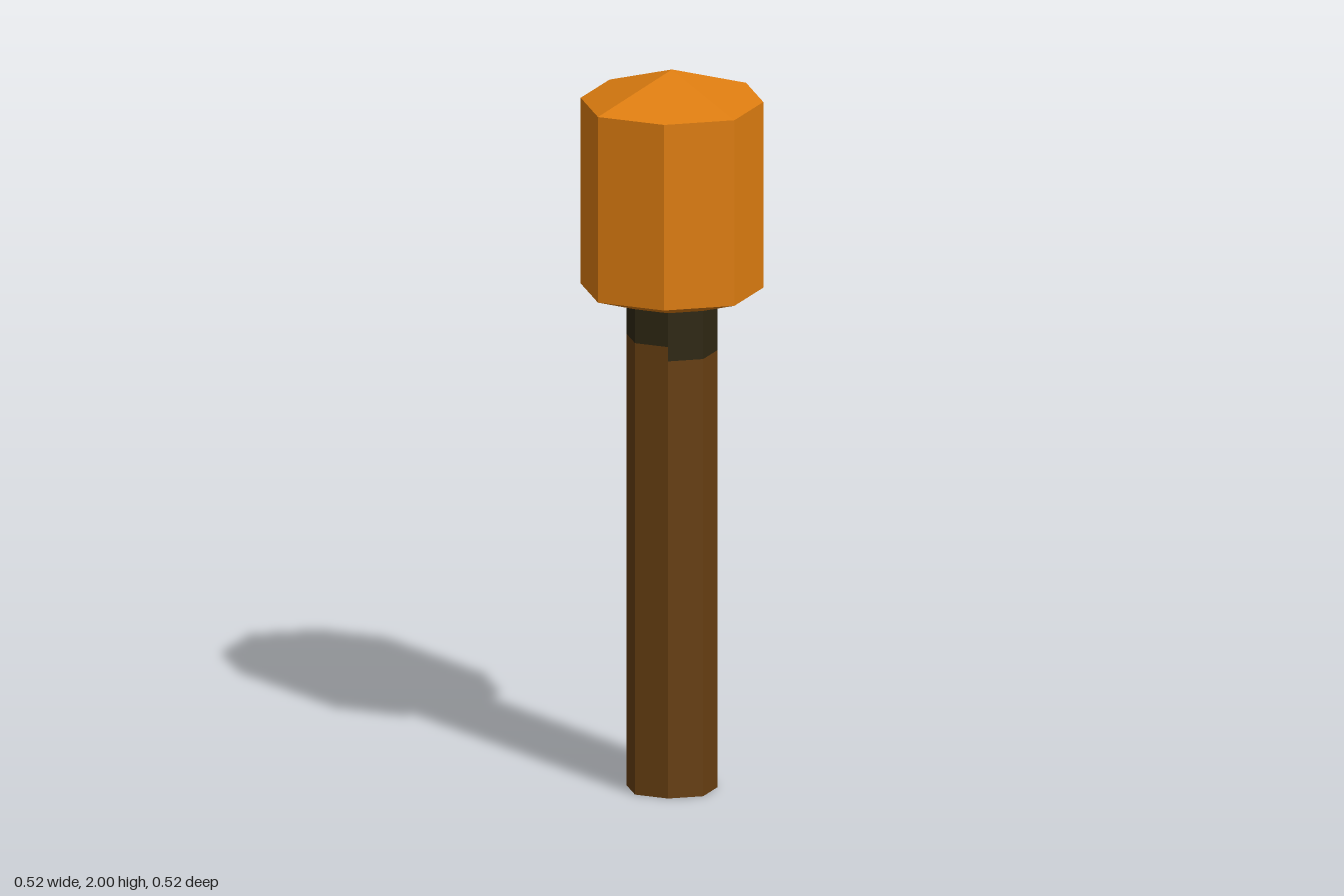
import * as THREE from 'three';

// Eight-sided ring: corners on the axes reach further out than the diagonal ones.
const corner = (i, y, axisR, diagonal) => {
  const a = (i * Math.PI) / 4;
  const r = i % 2 ? diagonal * Math.SQRT2 : axisR;
  return new THREE.Vector3(Math.sin(a) * r, y, Math.cos(a) * r);
};

// Geometry from four-cornered faces, each with one flat normal.
function fromQuads(quads) {
  const pos = [], nor = [];
  for (const [a, b, c, d] of quads) {
    const n = c.clone().sub(a).cross(d.clone().sub(b)).normalize();
    for (const p of [a, b, c, a, c, d]) {
      pos.push(p.x, p.y, p.z);
      nor.push(n.x, n.y, n.z);
    }
  }
  const g = new THREE.BufferGeometry();
  g.setAttribute('position', new THREE.Float32BufferAttribute(pos, 3));
  g.setAttribute('normal', new THREE.Float32BufferAttribute(nor, 3));
  return g;
}

// One upright side panel of a ring
const side = (i, low, high, r, d) => [
  corner(i, low, r, d), corner(i + 1, low, r, d), corner(i + 1, high, r, d), corner(i, high, r, d),
];

// Shallow four-panelled end, pointing up or down
function endPanels(rimY, tipY, r, d, up) {
  const quads = [];
  for (let i = 0; i < 8; i += 2) {
    const rim = [0, 1, 2].map((k) => corner(i + k, rimY, r, d));
    if (!up) rim.reverse();
    quads.push([new THREE.Vector3(0, tipY, 0), ...rim]);
  }
  return quads;
}

export function createModel() {
  const material = (name, color) => {
    const m = new THREE.MeshStandardMaterial({ color });
    m.name = name;
    return m;
  };
  const orange = material('orange', 0xde7d10);
  const wood = material('brown wood', 0x683f12);
  const char = material('charred wood', 0x2f2813);

  const group = new THREE.Group();
  group.name = 'torch';
  const add = (name, quads, mat) => {
    const mesh = new THREE.Mesh(fromQuads(quads), mat);
    mesh.name = name;
    group.add(mesh);
  };

  // Handle: each side is burnt down to its own height
  const handleTop = 1.36, handleR = 0.13, handleD = 0.087;
  const burntFrom = [1.22, 1.26, handleTop, 1.22, 1.17, 1.26, 1.26, 1.22];
  const woodQuads = endPanels(0, 0, handleR, handleD, false);
  const charQuads = [];
  burntFrom.forEach((y, i) => {
    woodQuads.push(side(i, 0, y, handleR, handleD));
    if (y < handleTop) charQuads.push(side(i, y, handleTop, handleR, handleD));
  });
  add('handle', woodQuads, wood);
  add('charredEnd', charQuads, char);

  // Head: upright sides with a shallow point above and below
  const headR = 0.26, headD = 0.174, low = 1.397, high = 1.915;
  const sides = burntFrom.map((_, i) => side(i, low, high, headR, headD));
  add('headSides', sides, orange);
  add('headTop', endPanels(high, 2, headR, headD, true), orange);
  add('headUnderside', endPanels(low, 1.312, headR, headD, false), orange);

  return group;
}
